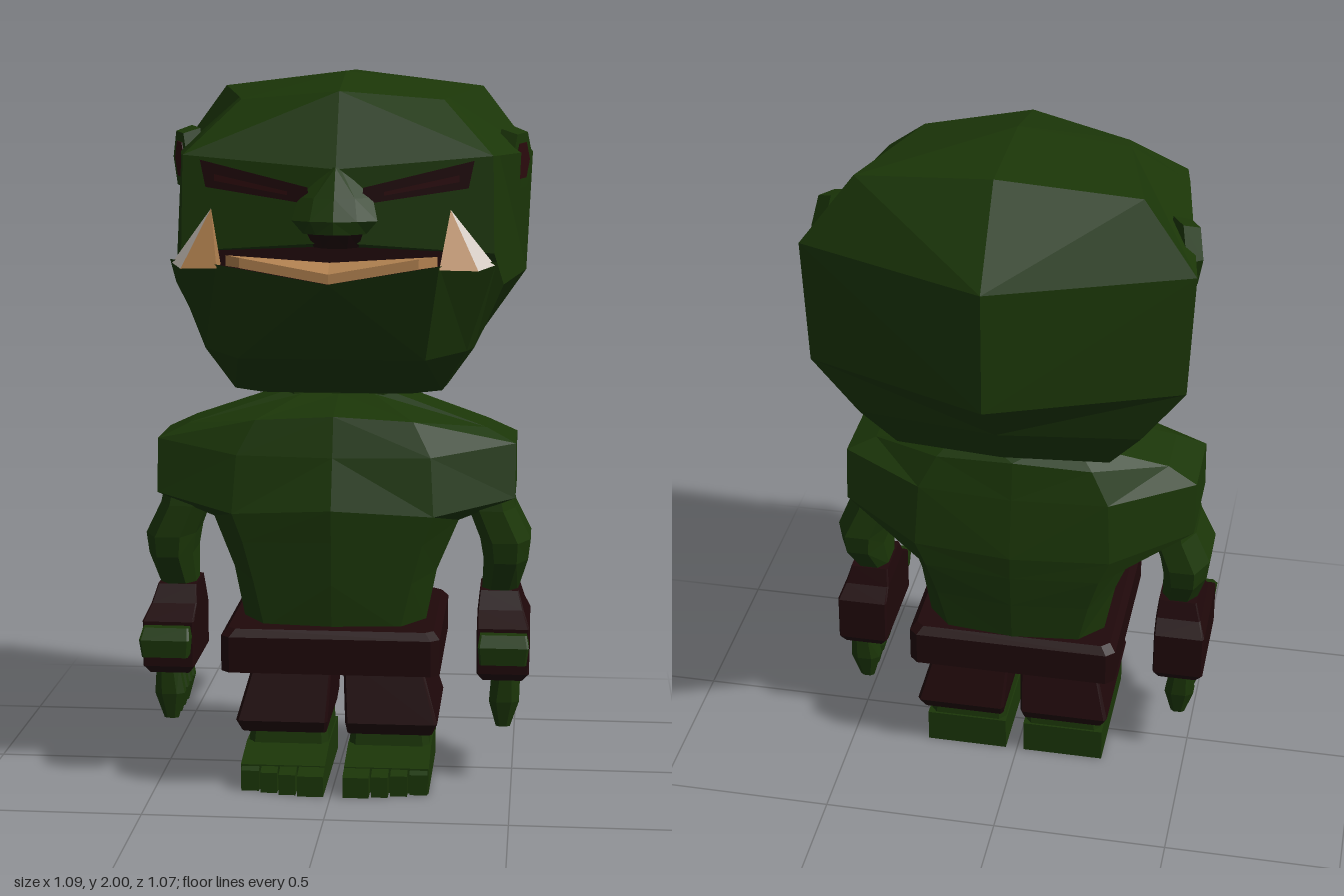
import * as THREE from 'three';

const mat = (name, color) => Object.assign(new THREE.MeshStandardMaterial({ color, side: THREE.DoubleSide }), { name });

// Faceted mesh from polygons (arrays of [x, y, z], counter-clockwise from outside)
function facets(name, material, polygons) {
  const pos = [];
  for (const p of polygons)
    for (let i = 1; i + 1 < p.length; i++) pos.push(...p[0], ...p[i], ...p[i + 1]);
  const g = new THREE.BufferGeometry();
  g.setAttribute('position', new THREE.Float32BufferAttribute(pos, 3));
  g.computeVertexNormals();
  const m = new THREE.Mesh(g, material);
  m.name = name;
  return m;
}

const centre = (r) => [0, 1, 2].map((k) => r.reduce((s, p) => s + p[k], 0) / r.length);
const cap = (r, c, down) => r.map((p, i) => {
  const q = r[(i + 1) % r.length];
  return down ? [c, q, p] : [c, p, q];
});

// Skin over rings listed from top to bottom; diagonals mirror across x = 0
function loft(name, material, rings, { top = centre(rings[0]), bottom = centre(rings.at(-1)) } = {}) {
  const polys = [];
  for (let k = 0; k + 1 < rings.length; k++) {
    const a = rings[k], b = rings[k + 1];
    a.forEach((p, i) => {
      const j = (i + 1) % a.length;
      polys.push(p[0] + a[j][0] >= 0 ? [p, b[i], b[j], a[j]] : [b[i], b[j], a[j], p]);
    });
  }
  if (top) polys.push(...cap(rings[0], top, false));
  if (bottom) polys.push(...cap(rings.at(-1), bottom, true));
  return facets(name, material, polys);
}

// Half ring from front centre to back centre, mirrored to a full ring
const sym = (half) => [...half, ...half.slice(1, -1).reverse().map(([x, y, z]) => [-x, y, z])];

// Limb from chamfered rectangular sections [y, x0, x1, z0, z1], given for the left side
function limb(name, material, s, sections, c = 0.25) {
  return loft(name, material, sections.map(([y, a, b, z0, z1]) => {
    const [x0, x1] = s > 0 ? [a, b] : [-b, -a];
    const dx = (x1 - x0) * c, dz = (z1 - z0) * c;
    return [[x0 + dx, y, z1], [x1 - dx, y, z1], [x1, y, z1 - dz], [x1, y, z0 + dz],
      [x1 - dx, y, z0], [x0 + dx, y, z0], [x0, y, z0 + dz], [x0, y, z1 - dz]];
  }));
}

// Polygon for one side, mirrored with its winding kept
const side = (s, p) => (s > 0 ? p : p.map(([x, y, z]) => [-x, y, z]).reverse());

export function createModel() {
  const green = mat('green skin', 0x1b3608);
  const maroon = mat('maroon cloth', 0x1f080a);
  const red = mat('dark red', 0x2c0b0d);
  const tan = mat('tan tooth', 0xb0804f);
  const ivory = mat('ivory tusk', 0xd9d0c8);
  const model = new THREE.Group();
  const head = new THREE.Group();
  head.name = 'head';
  head.position.x = 0.015;
  model.add(head);

  // Skull: crown, brow and upper lip rings
  head.add(loft('skull', green, [
    sym([[0, 1.95, 0.19], [0.28, 1.925, 0.1], [0.29, 1.93, 0.05], [0.375, 1.955, -0.304], [0, 2, -0.354]]),
    sym([[0, 1.745, 0.3], [0.42, 1.78, 0.255], [0.435, 1.778, 0.18], [0.52, 1.765, -0.34], [0, 1.765, -0.535]]),
    sym([[0, 1.55, 0.31], [0.425, 1.52, 0.265], [0.45, 1.43, 0.2], [0.505, 1.42, -0.34], [0, 1.42, -0.535]]),
  ], { top: [0, 2, -0.03] }));

  // Protruding lower jaw with a dark mouth
  const rim = sym([[0, 1.46, 0.535], [0.29, 1.51, 0.535], [0.435, 1.51, 0.39],
    [0.45, 1.43, 0.2], [0.505, 1.42, -0.34], [0, 1.42, -0.535]]);
  head.add(loft('jaw', green, [
    rim,
    sym([[0, 1.25, 0.43], [0.25, 1.25, 0.43], [0.355, 1.26, 0.3], [0.37, 1.25, 0.15], [0.385, 1.25, -0.31], [0, 1.25, -0.36]]),
    sym([[0, 1.14, 0.29], [0.2, 1.14, 0.29], [0.285, 1.14, 0.22], [0.295, 1.14, 0.1], [0.295, 1.135, -0.26], [0, 1.13, -0.28]]),
  ], { top: null }));
  head.add(facets('mouthFloor', maroon, cap(rim, [0, 1.44, 0.25], false)));
  const mouthBack = new THREE.Mesh(new THREE.BoxGeometry(0.76, 0.12, 0.04), maroon);
  mouthBack.name = 'mouthBack';
  mouthBack.position.set(0, 1.49, 0.24);
  head.add(mouthBack);
  const teeth = (d) => sym([[0, 1.485 - d, 0.52], [0.235, 1.525 - d, 0.5], [0.28, 1.525 - d, 0.43], [0, 1.485 - d, 0.475]]);
  head.add(loft('lowerTeeth', tan, [teeth(0), teeth(0.03)]));

  // Nose with dark nostrils beneath
  const noseRing = (y, w, z) => sym([[0, y, z], [w * 0.55, y, z - 0.012], [w, y, z - 0.05], [0, y, 0.25]]);
  head.add(loft('nose', green, [noseRing(1.75, 0.02, 0.305), noseRing(1.67, 0.1, 0.35),
    noseRing(1.61, 0.115, 0.383), noseRing(1.575, 0.085, 0.38)]));
  head.add(loft('nostrils', maroon, [noseRing(1.575, 0.075, 0.372), noseRing(1.535, 0.06, 0.335)]));

  for (const s of [1, -1]) {
    // Slanted eyes
    const onFace = (d) => ([x, y]) => [x, y, 0.318 - 0.115 * x + d];
    head.add(facets('eyeSocket', maroon, [side(s, [[0.07, 1.652], [0.355, 1.695], [0.37, 1.768], [0.075, 1.697]].map(onFace(0)))]));
    head.add(facets('eye', red, [side(s, [[0.13, 1.676], [0.33, 1.712], [0.33, 1.73], [0.13, 1.686]].map(onFace(0.004)))]));

    // Tusks: pale outside, tan elsewhere
    const a = [0.43, 1.5, 0.39], b = [0.39, 1.495, 0.5], c = [0.29, 1.5, 0.535], d = [0.295, 1.5, 0.42], tip = [0.315, 1.65, 0.45];
    head.add(facets('tuskOuter', ivory, [side(s, [b, a, tip])]));
    head.add(facets('tuskInner', tan, [[c, b, tip], [a, d, tip], [d, c, tip]].map((p) => side(s, p))));

    // Ears, opening outwards and forwards
    const ear = new THREE.Group();
    ear.name = 'ear';
    ear.position.set(s * 0.47, 1.748, -0.175);
    ear.rotation.set(0.1, s * -0.5, 0);
    const disc = (name, m, r0, r1, h, x) => {
      const g = new THREE.CylinderGeometry(r0, r1, h, 6).toNonIndexed();
      g.computeVertexNormals();
      g.rotateZ(-s * Math.PI / 2);
      g.scale(1, 1, 0.66);
      const e = new THREE.Mesh(g, m);
      e.name = name;
      e.position.x = s * x;
      ear.add(e);
    };
    disc('earShell', green, 0.09, 0.105, 0.05, 0);
    disc('earInner', red, 0.058, 0.058, 0.008, 0.024);
    head.add(ear);
  }

  // Neck and torso
  model.add(limb('neck', green, 1, [[1.16, -0.16, 0.16, -0.14, 0.04], [1.08, -0.16, 0.16, -0.14, 0.04]], 0.1));
  model.add(loft('torso', green, [
    sym([[0, 1.1, 0.04], [0.1, 1.1, 0.04], [0.165, 1.1, 0.03], [0.165, 1.1, -0.13], [0.1, 1.1, -0.14], [0, 1.1, -0.14]]),
    sym([[0, 1.06, 0.21], [0.22, 1.045, 0.19], [0.42, 1.02, 0.1], [0.42, 1.02, -0.07], [0.22, 1.045, -0.18], [0, 1.06, -0.2]]),
    sym([[0, 0.95, 0.245], [0.27, 0.95, 0.22], [0.503, 0.98, 0.13], [0.503, 0.98, -0.09], [0.27, 0.95, -0.2], [0, 0.95, -0.22]]),
    sym([[0, 0.81, 0.29], [0.28, 0.79, 0.25], [0.503, 0.83, 0.155], [0.503, 0.83, -0.11], [0.28, 0.77, -0.22], [0, 0.77, -0.25]]),
    sym([[0, 0.72, 0.285], [0.25, 0.71, 0.25], [0.345, 0.76, 0.13], [0.345, 0.76, -0.1], [0.25, 0.7, -0.22], [0, 0.7, -0.245]]),
    sym([[0, 0.6, 0.28], [0.22, 0.6, 0.25], [0.285, 0.62, 0.15], [0.285, 0.62, -0.12], [0.22, 0.6, -0.21], [0, 0.6, -0.235]]),
    sym([[0, 0.47, 0.27], [0.19, 0.47, 0.25], [0.255, 0.47, 0.15], [0.255, 0.47, -0.13], [0.19, 0.47, -0.2], [0, 0.47, -0.22]]),
    sym([[0, 0.355, 0.19], [0.16, 0.355, 0.18], [0.22, 0.355, 0.12], [0.22, 0.355, -0.1], [0.16, 0.355, -0.15], [0, 0.355, -0.16]]),
  ]));

  // Belt
  model.add(limb('belt', maroon, 1, [[0.48, -0.285, 0.285, -0.22, 0.315], [0.46, -0.303, 0.303, -0.24, 0.335],
    [0.36, -0.303, 0.303, -0.24, 0.335]], 0.04));

  const legs = new THREE.Group();
  legs.name = 'legs';
  legs.position.x = 0.007;
  model.add(legs);

  for (const s of [1, -1]) {
    // Arm, flared cuff, thumb and fingers
    model.add(limb('arm', green, s, [[0.88, 0.35, 0.485, -0.1, 0.14], [0.79, 0.37, 0.503, -0.115, 0.155],
      [0.7, 0.405, 0.547, -0.13, 0.16], [0.64, 0.415, 0.54, -0.12, 0.15], [0.54, 0.41, 0.51, -0.05, 0.08]]));
    model.add(limb('cuff', maroon, s, [[0.55, 0.405, 0.515, -0.06, 0.09], [0.5, 0.4, 0.53, -0.08, 0.12],
      [0.46, 0.4, 0.547, -0.115, 0.18], [0.33, 0.4, 0.547, -0.12, 0.18], [0.31, 0.415, 0.53, -0.11, 0.17]], 0.03));
    model.add(limb('thumb', green, s, [[0.45, 0.41, 0.54, 0.12, 0.21], [0.42, 0.405, 0.547, 0.12, 0.24], [0.37, 0.41, 0.54, 0.12, 0.235]], 0.04));
    for (const z of [0.118, 0.055, -0.008, -0.07])
      model.add(limb('finger', green, s, [[0.32, 0.45, 0.515, z - 0.03, z + 0.03], [0.24, 0.435, 0.52, z - 0.031, z + 0.031],
        [0.165, 0.455, 0.495, z - 0.015, z + 0.015]]));

    // Trouser leg
    legs.add(limb('trouserLeg', maroon, s, [[0.42, 0.015, 0.235, -0.12, 0.15], [0.36, 0.015, 0.235, -0.13, 0.155],
      [0.185, 0.025, 0.285, -0.195, 0.21], [0.15, 0.03, 0.27, -0.175, 0.19]], 0.03));

    // Ankle, wedge-shaped foot and toes
    legs.add(limb('ankle', green, s, [[0.18, 0.035, 0.25, -0.13, 0.12], [0.09, 0.03, 0.26, -0.14, 0.13]], 0.08));
    const wedge = (name, x0, x1, z0, z1, h0, h1) => {
      const A = [x0, 0, z1], B = [x1, 0, z1], C = [x1, 0, z0], D = [x0, 0, z0];
      const E = [x0, h1, z1], F = [x1, h1, z1], G = [x1, h0, z0], H = [x0, h0, z0];
      legs.add(facets(name, green, [[A, B, F, E], [B, C, G, F], [C, D, H, G], [D, A, E, H], [E, F, G, H], [D, C, B, A]].map((q) => side(s, q))));
    };
    wedge('heel', 0.027, 0.265, -0.145, 0.12, 0.1, 0.1);
    wedge('foot', 0.027, 0.265, 0.12, 0.255, 0.1, 0.072);
    [[0.027, 0.1, 0.31], [0.106, 0.153, 0.3], [0.159, 0.206, 0.285], [0.212, 0.262, 0.27]]
      .forEach(([x0, x1, z]) => wedge('toe', x0, x1, 0.25, z, 0.07, 0.058));
  }
  return model;
}
